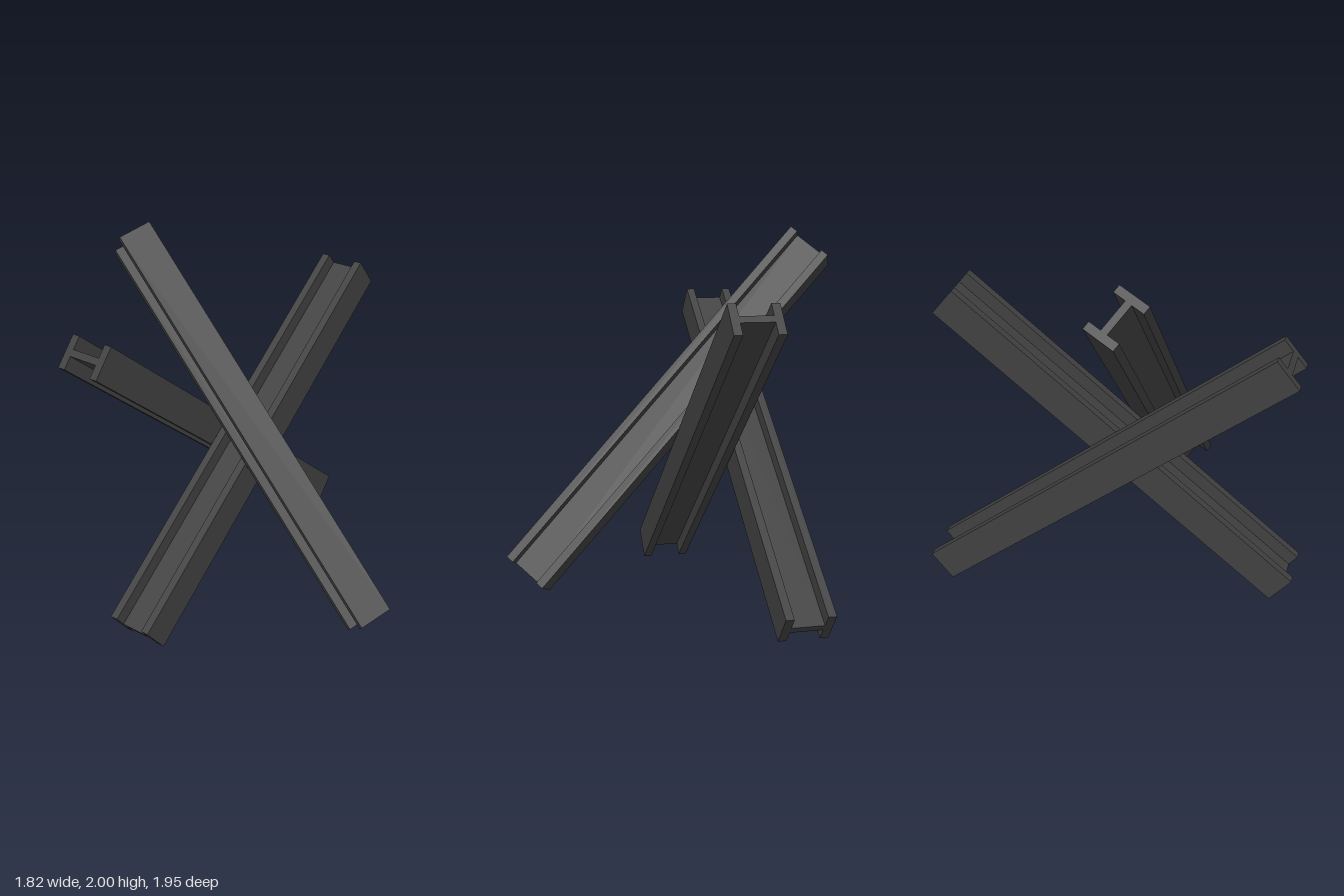
import * as THREE from 'three';

const W = 0.26, D = 0.18, FLANGE = 0.044, WEB = 0.038, LENGTH = 2.36;

// H-section: flanges at +-x joined by a thin web, extruded along z about the centre
function beamGeometry() {
  const w = W / 2, d = D / 2, i = w - FLANGE, t = WEB / 2;
  const shape = new THREE.Shape([
    [-w, -d], [-i, -d], [-i, -t], [i, -t], [i, -d], [w, -d],
    [w, d], [i, d], [i, t], [-i, t], [-i, d], [-w, d],
  ].map(([x, y]) => new THREE.Vector2(x, y)));
  const geo = new THREE.ExtrudeGeometry(shape, { depth: LENGTH, bevelEnabled: false });
  return geo.translate(0, 0, -LENGTH / 2);
}

export function createModel() {
  const group = new THREE.Group();
  group.name = 'steelBeamObstacle';
  const steel = new THREE.MeshStandardMaterial({ color: 0x404040 });
  steel.name = 'darkSteel';
  const geo = beamGeometry();

  const addBeam = (name, x, y, z) => {
    const beam = new THREE.Mesh(geo, steel);
    beam.name = name;
    beam.position.set(x, y, z);
    group.add(beam);
    return beam;
  };

  // Two beams crossing side by side
  const tilt = THREE.MathUtils.degToRad(39.2);
  addBeam('beamRisingToFront', -0.41, 0.82, -0.004).rotation.x = -tilt;
  addBeam('beamRisingToBack', -0.145, 0.83, 0.004).rotation.x = tilt;

  // Beam leaning across the front, rolled about its own length
  const roll = THREE.MathUtils.degToRad(28.5);
  const across = new THREE.Vector3(0.741, 0.671, 0).normalize();
  const front = new THREE.Vector3(0, 0, 1);
  const c = Math.cos(roll), s = Math.sin(roll);
  const v = across.clone().multiplyScalar(c).addScaledVector(front, s);
  const w = across.clone().multiplyScalar(-s).addScaledVector(front, c);
  const axis = v.clone().cross(w);
  addBeam('leaningBeam', -0.002, 1.022, 0.159)
    .quaternion.setFromRotationMatrix(new THREE.Matrix4().makeBasis(v, w, axis));

  return group;
}
